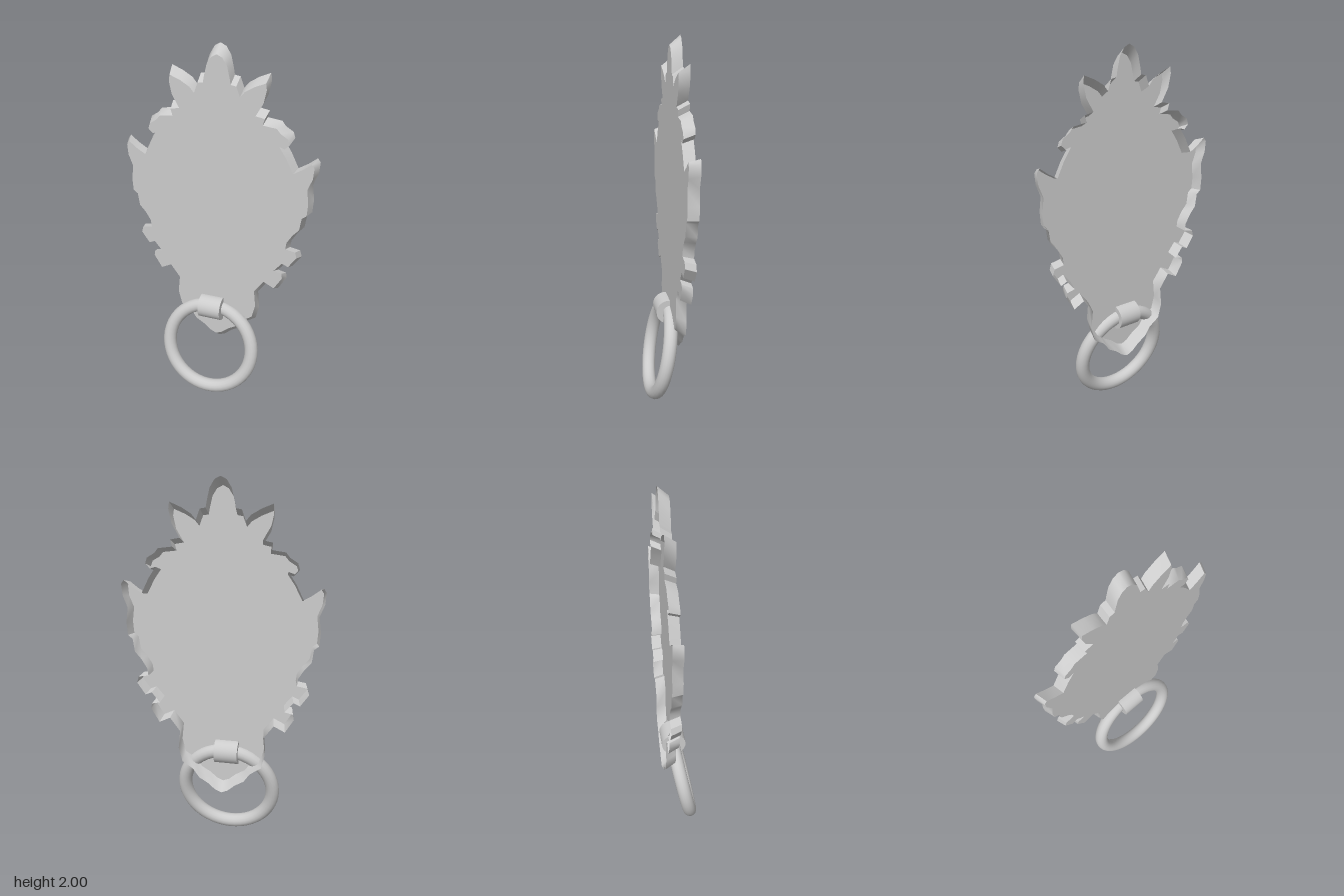
import * as THREE from 'three';
import { toCreasedNormals } from 'three/addons/utils/BufferGeometryUtils.js';

// One half of the leafy rim, from top tip to bottom tip (x, y)
const HALF = [
  [0, 2], [0.03, 1.985], [0.055, 1.945], [0.07, 1.88], [0.075, 1.85], [0.105, 1.845], [0.125, 1.79],
  [0.15, 1.82], [0.2, 1.85], [0.26, 1.875], [0.265, 1.84], [0.25, 1.77], [0.21, 1.7], [0.26, 1.69],
  [0.25, 1.655], [0.325, 1.645], [0.345, 1.62], [0.385, 1.595], [0.395, 1.565], [0.37, 1.54],
  [0.34, 1.55], [0.38, 1.49], [0.42, 1.41], [0.47, 1.44], [0.515, 1.475], [0.53, 1.455],
  [0.525, 1.395], [0.5, 1.33], [0.51, 1.25], [0.505, 1.18], [0.48, 1.16], [0.47, 1.09],
  [0.435, 1.05], [0.405, 1], [0.4, 0.96], [0.455, 0.95], [0.465, 0.915], [0.42, 0.85],
  [0.385, 0.865], [0.34, 0.81], [0.385, 0.8], [0.39, 0.77], [0.345, 0.695], [0.285, 0.725],
  [0.23, 0.65], [0.24, 0.55], [0.22, 0.47], [0.16, 0.43], [0.125, 0.38], [0.075, 0.35],
  [0.035, 0.315], [0, 0.3],
];
const FRONT_Z = -0.04;
const BACK_Z = -0.095;

export function createModel() {
  const group = new THREE.Group();
  const solid = new THREE.MeshStandardMaterial({ color: 0xcccccc });
  const thin = new THREE.MeshStandardMaterial({ color: 0xcccccc, side: THREE.DoubleSide });
  const add = (name, geometry, material) => {
    const mesh = new THREE.Mesh(geometry, material);
    mesh.name = name;
    group.add(mesh);
    return mesh;
  };

  // Mirrored rim, counter-clockwise seen from the front; the front edge is slightly smaller
  const left = HALF.map(([x, y]) => [-x, y]);
  const right = HALF.slice(1, -1).reverse();
  const back = [...left, ...right];
  const front = back.map(([x, y]) => [x * 0.968, 1.15 + (y - 1.15) * 0.945]);

  // Flat front face of the hollow plate
  const shape = new THREE.Shape(front.map(([x, y]) => new THREE.Vector2(x, y)));
  add('plateFace', new THREE.ShapeGeometry(shape), thin).position.z = FRONT_Z;

  // Flared rim wall, open at the back
  const positions = [];
  const index = [];
  const n = back.length;
  for (let i = 0; i < n; i++) {
    positions.push(...front[i], FRONT_Z, ...back[i], BACK_Z);
    const a = 2 * i;
    const b = 2 * ((i + 1) % n);
    index.push(a, a + 1, b, b, a + 1, b + 1);
  }
  const wall = new THREE.BufferGeometry();
  wall.setAttribute('position', new THREE.Float32BufferAttribute(positions, 3));
  wall.setIndex(index);
  add('plateRim', toCreasedNormals(wall, 0.8), thin);

  // Hanging ring, its lower side swung forward
  const ring = add('ring', new THREE.TorusGeometry(0.252, 0.038, 16, 48), solid);
  ring.position.set(-0.02, 0.287, 0.01);
  ring.rotation.x = -0.2;

  // Sleeve that holds the ring on the plate
  const sleeve = add('ringSleeve', new THREE.CylinderGeometry(0.067, 0.067, 0.13, 32), solid);
  sleeve.rotation.z = Math.PI / 2;
  sleeve.position.set(-0.022, 0.528, -0.033);

  return group;
}
